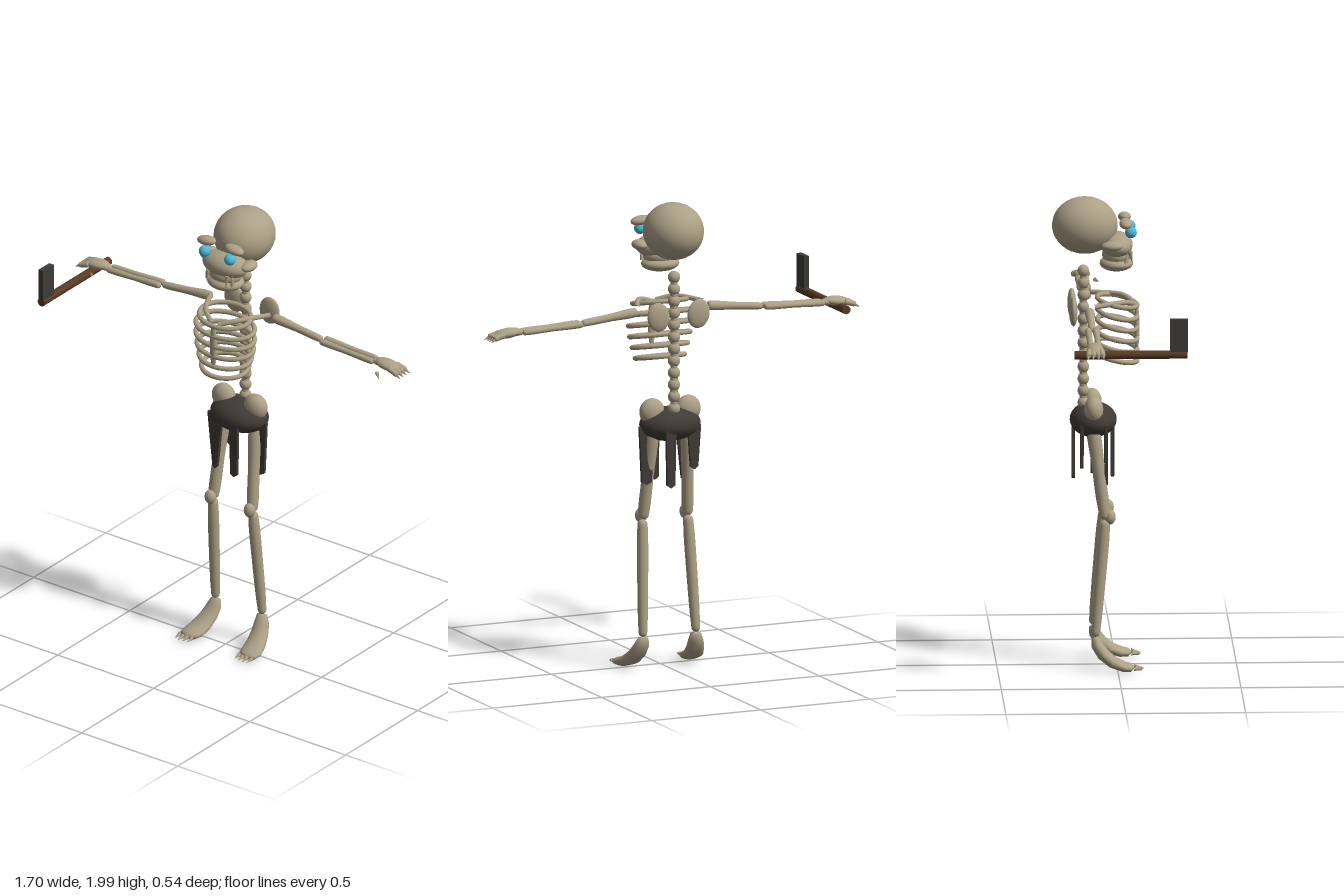
import * as THREE from 'three';

const V = (x, y, z) => new THREE.Vector3(x, y, z);
const paint = (name, color) => Object.assign(new THREE.MeshStandardMaterial({ color }), { name });

export function createModel() {
  const root = new THREE.Group();
  root.name = 'skeletonWarrior';
  const bone = paint('bone', 0xaca086);
  const cloth = paint('cloth', 0x403b36);
  const wood = paint('wood', 0x593a24);
  const iron = paint('iron', 0x3d3b38);
  const eyeBlue = paint('eye blue', 0x4bb8d8);

  const group = (name) => {
    const g = new THREE.Group();
    g.name = name;
    root.add(g);
    return g;
  };
  const add = (parent, name, geo, mat) => {
    const m = new THREE.Mesh(geo, mat);
    m.name = name;
    parent.add(m);
    return m;
  };
  // ellipsoid at p with radii r
  const blob = (parent, name, p, r, mat = bone) => {
    const m = add(parent, name, new THREE.SphereGeometry(1, 32, 20), mat);
    m.position.set(...p);
    m.scale.set(...r);
    return m;
  };
  // rounded long bone from a to b; radii at the start, middle and end
  const limb = (parent, name, a, b, r0, rm, r1) => {
    const d = b.clone().sub(a), L = d.length();
    const profile = new THREE.CatmullRomCurve3([
      V(0.0001, 0, 0), V(r0 * 0.8, L * 0.02, 0), V(r0, L * 0.08, 0), V(rm, L * 0.5, 0),
      V(r1, L * 0.92, 0), V(r1 * 0.8, L * 0.98, 0), V(0.0001, L, 0),
    ]).getPoints(24).map((p) => new THREE.Vector2(Math.max(p.x, 0), p.y));
    const m = add(parent, name, new THREE.LatheGeometry(profile, 16), bone);
    m.position.copy(a);
    m.quaternion.setFromUnitVectors(V(0, 1, 0), d.normalize());
  };
  const spike = (parent, name, a, b, r) => {
    const d = b.clone().sub(a), L = d.length();
    const m = add(parent, name, new THREE.ConeGeometry(r, L, 10), bone);
    m.position.copy(a).add(b).multiplyScalar(0.5);
    m.quaternion.setFromUnitVectors(V(0, 1, 0), d.normalize());
  };

  // Head
  const head = group('head');
  blob(head, 'skull', [0, 1.88, -0.132], [0.126, 0.12, 0.137]);
  blob(head, 'upperJaw', [0, 1.797, 0], [0.11, 0.053, 0.068]);
  blob(head, 'mouth', [0, 1.755, 0], [0.075, 0.045, 0.06]);
  blob(head, 'lowerJaw', [0, 1.718, 0], [0.082, 0.033, 0.07]);
  for (const s of [-1, 1]) {
    blob(head, 'brow', [s * 0.072, 1.9, 0.036], [0.046, 0.02, 0.027]).rotation.z = -s * 0.12;
    blob(head, 'eye', [s * 0.066, 1.861, 0.058], [0.0245, 0.0245, 0.0245], eyeBlue);
    blob(head, 'cheekbone', [s * 0.105, 1.81, -0.022], [0.031, 0.021, 0.045]);
    spike(head, 'upperFang', V(s * 0.05, 1.775, 0.054), V(s * 0.05, 1.725, 0.066), 0.011);
    spike(head, 'lowerFang', V(s * 0.065, 1.73, 0.038), V(s * 0.068, 1.78, 0.046), 0.01);
  }

  // Spine
  const spine = group('spine');
  limb(spine, 'spineCore', V(0, 1.08, -0.138), V(0, 1.71, -0.138), 0.015, 0.015, 0.015);
  for (let i = 0; i < 12; i++)
    blob(spine, 'vertebra', [0, 1.685 - i * 0.051, -0.138], [0.026, 0.026, 0.024]);

  // Rib cage
  const chest = group('ribCage');
  const widths = [0.12, 0.14, 0.14, 0.134, 0.122, 0.107];
  widths.forEach((w, i) => {
    const y = 1.555 - i * 0.047, tilt = 0.034, pts = [];
    for (let k = 0; k < 24; k++) {
      const t = (k / 24) * Math.PI * 2;
      pts.push(V(w * Math.sin(t), y - (tilt / 2) * Math.cos(t), 0.003 + 0.083 * Math.cos(t)));
    }
    const curve = new THREE.CatmullRomCurve3(pts, true);
    add(chest, 'rib', new THREE.TubeGeometry(curve, 56, 0.0105, 8, true), bone);
  });
  blob(chest, 'sternum', [0, 1.445, 0.085], [0.016, 0.105, 0.011]);
  for (const s of [-1, 1]) {
    const collar = new THREE.CatmullRomCurve3([
      V(s * 0.015, 1.545, 0.075), V(s * 0.08, 1.565, 0.03), V(s * 0.155, 1.562, -0.1)]);
    add(chest, 'collarbone', new THREE.TubeGeometry(collar, 16, 0.011, 8), bone);
    blob(chest, 'shoulderBlade', [s * 0.092, 1.53, -0.183], [0.05, 0.062, 0.018]).rotation.z = -s * 0.15;
  }

  // Arms
  for (const s of [-1, 1]) {
    const arm = group(s > 0 ? 'leftArm' : 'rightArm');
    limb(arm, 'upperArm', V(s * 0.16, 1.546, -0.118), V(s * 0.415, 1.52, -0.118), 0.02, 0.016, 0.015);
    for (const dz of [-0.016, 0.016])
      limb(arm, 'forearmBone', V(s * 0.415, 1.52, -0.118 + dz), V(s * 0.695, 1.51, -0.118 + dz), 0.014, 0.012, 0.013);
    blob(arm, 'wrist', [s * 0.71, 1.511, -0.118], [0.03, 0.015, 0.022]);
    blob(arm, 'palm', [s * 0.755, 1.511, -0.118], [0.06, 0.021, 0.034]).rotation.z = -s * 0.1;
    for (let f = 0; f < 4; f++) {
      const o = (f - 1.5) * 0.02;
      limb(arm, 'finger', V(s * 0.78, 1.51, -0.118 + o * 0.8), V(s * 0.829, 1.496, -0.118 + o), 0.013, 0.012, 0.011);
      spike(arm, 'fingerClaw', V(s * 0.82, 1.498, -0.118 + o), V(s * 0.848, 1.483, -0.118 + o * 1.15), 0.009);
    }
    spike(arm, 'thumbClaw', V(s * 0.742, 1.49, -0.062), V(s * 0.768, 1.475, -0.042), 0.009);
  }

  // Hatchet in the right hand
  const hatchet = group('hatchet');
  const handle = add(hatchet, 'handle', new THREE.CylinderGeometry(0.018, 0.018, 0.47, 16), wood);
  handle.rotation.x = Math.PI / 2;
  handle.position.set(-0.762, 1.487, 0.031);
  add(hatchet, 'blade', new THREE.BoxGeometry(0.024, 0.14, 0.075), iron).position.set(-0.762, 1.568, 0.231);

  // Hips and loincloth
  const hips = group('hips');
  for (const s of [-1, 1])
    blob(hips, 'hipBone', [s * 0.083, 1.11, -0.098], [0.055, 0.057, 0.04]);
  blob(hips, 'loincloth', [0, 1.053, -0.097], [0.134, 0.072, 0.098], cloth);
  // five tattered strips in a ring: width at top and hem, height of hem
  const strips = [
    [0.068, 0.045, 0.8], [0.042, 0.034, 0.8], [0.076, 0.024, 0.79],
    [0.06, 0.034, 0.86], [0.046, 0.036, 0.795],
  ];
  strips.forEach(([top, hem, low], i) => {
    const a = (i / 5) * Math.PI * 2, h = 1.05 - low;
    const outline = new THREE.Shape([
      new THREE.Vector2(-top / 2, 0), new THREE.Vector2(-hem / 2, 0.012 - h),
      new THREE.Vector2(0, -h), new THREE.Vector2(hem / 2, 0.012 - h), new THREE.Vector2(top / 2, 0)]);
    const geo = new THREE.ExtrudeGeometry(outline, { depth: 0.014, bevelEnabled: false });
    add(hips, 'clothStrip', geo, cloth)
      .position.set(0.108 * Math.cos(a), 1.05, -0.104 + 0.086 * Math.sin(a));
  });

  // Foot cross-sections from ankle to toes: x, y, z, half width, half height, tilt
  const sections = [
    [0.12, 0.15, -0.092, 0.004, 0.004, 1.4], [0.121, 0.145, -0.092, 0.024, 0.018, 1.4],
    [0.125, 0.115, -0.085, 0.034, 0.025, 1.2], [0.133, 0.078, -0.06, 0.04, 0.027, 0.9],
    [0.143, 0.046, -0.02, 0.046, 0.025, 0.6], [0.151, 0.029, 0.025, 0.049, 0.021, 0.3],
    [0.154, 0.026, 0.055, 0.042, 0.017, 0.1], [0.155, 0.025, 0.068, 0.004, 0.003, 0],
  ];
  const makeFoot = (s) => {
    const pos = [], index = [], N = 20;
    sections.forEach(([x, y, z, a, b, t]) => {
      for (let k = 0; k < N; k++) {
        const u = (k / N) * Math.PI * 2, h = b * Math.sin(u);
        pos.push(s * (x + a * Math.cos(u)), y + h * Math.cos(t), z + h * Math.sin(t));
      }
    });
    for (let i = 0; i < sections.length - 1; i++)
      for (let k = 0; k < N; k++) {
        const a = i * N + k, b = i * N + ((k + 1) % N), c = a + N, d = b + N;
        if (s > 0) index.push(a, b, c, b, d, c);
        else index.push(a, c, b, b, c, d);
      }
    const g = new THREE.BufferGeometry();
    g.setAttribute('position', new THREE.Float32BufferAttribute(pos, 3));
    g.setIndex(index);
    g.computeVertexNormals();
    return g;
  };

  // Legs
  for (const s of [-1, 1]) {
    const leg = group(s > 0 ? 'leftLeg' : 'rightLeg');
    limb(leg, 'thigh', V(s * 0.08, 1.03, -0.1), V(s * 0.102, 0.645, -0.05), 0.028, 0.025, 0.024);
    blob(leg, 'kneecap', [s * 0.102, 0.657, -0.03], [0.025, 0.032, 0.023]);
    limb(leg, 'shin', V(s * 0.104, 0.645, -0.05), V(s * 0.122, 0.15, -0.093), 0.022, 0.023, 0.019);
    add(leg, 'foot', makeFoot(s), bone);
    for (let t = 0; t < 4; t++) {
      const x = s * (0.124 + t * 0.021), z = t === 0 || t === 3 ? 0.068 : 0.074;
      spike(leg, 'toeClaw', V(x, 0.027, z), V(x, 0.021, z + 0.037), 0.009);
    }
  }
  return root;
}
